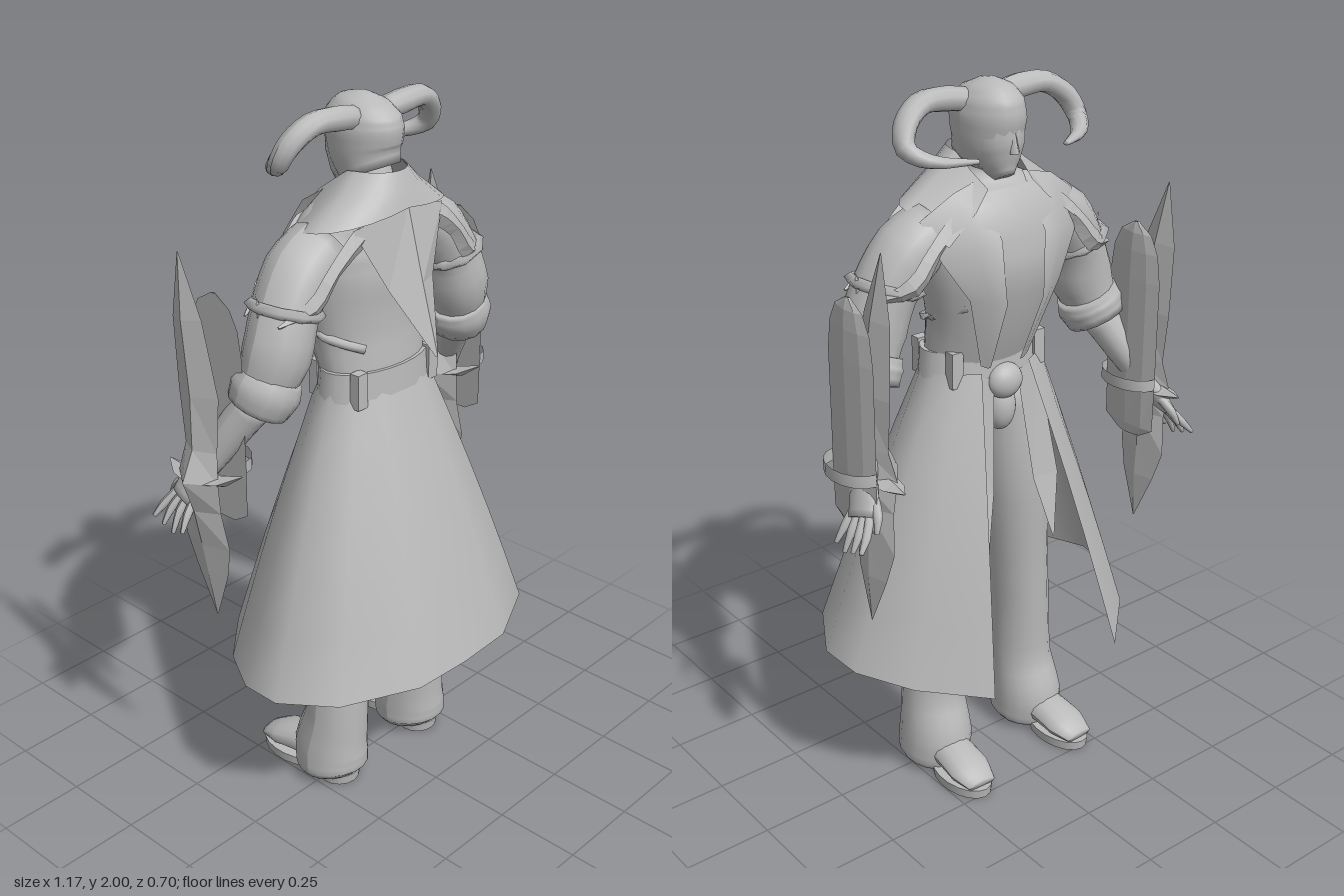
import * as THREE from 'three';

const grey = new THREE.MeshStandardMaterial({ color: 0xbababa, side: THREE.DoubleSide });
grey.name = 'plain grey';

function add(parent, name, geometry) {
  const m = new THREE.Mesh(geometry, grey);
  m.name = name;
  parent.add(m);
  return m;
}

// Surface from a grid of points: rows of [x, y, z]
function gridSurface(rows, flat = false) {
  const n = rows[0].length, index = [];
  for (let i = 0; i < rows.length - 1; i++)
    for (let j = 0; j < n - 1; j++) {
      const a = i * n + j, b = a + 1, c = a + n, d = c + 1;
      index.push(a, b, c, b, d, c);
    }
  let g = new THREE.BufferGeometry();
  g.setAttribute('position', new THREE.Float32BufferAttribute(rows.flat(2), 3));
  g.setIndex(index);
  if (flat) g = g.toNonIndexed();
  g.computeVertexNormals();
  return g;
}

// Elliptical loft along points [x, y, z, radiusA, radiusB], closed at both ends
function loft(pts, { sides = 14, steps = 3, ref = [0, 0, 1], flat = false } = {}) {
  const curve = new THREE.CatmullRomCurve3(pts.map(p => new THREE.Vector3(...p)), false, 'centripetal');
  const total = (pts.length - 1) * steps, R = new THREE.Vector3(...ref), rows = [];
  for (let k = 0; k <= total; k++) {
    const t = k / total, i = Math.min(Math.floor(k / steps), pts.length - 2), f = k / steps - i;
    const c = curve.getPoint(t), dir = curve.getTangent(t);
    const s = dir.clone().cross(R).normalize(), b = dir.clone().cross(s);
    const ra = pts[i][3] + (pts[i + 1][3] - pts[i][3]) * f;
    const rb = pts[i][4] + (pts[i + 1][4] - pts[i][4]) * f;
    const ring = scale => Array.from({ length: sides + 1 }, (_, j) => {
      const q = j / sides * Math.PI * 2;
      return c.clone().addScaledVector(s, Math.cos(q) * ra * scale)
        .addScaledVector(b, Math.sin(q) * rb * scale).toArray();
    });
    if (k === 0) rows.push(ring(0));
    rows.push(ring(1));
    if (k === total) rows.push(ring(0));
  }
  return gridSurface(rows, flat);
}

function ellipsoid(x, y, z, rx, ry, rz) {
  return new THREE.SphereGeometry(1, 20, 14).scale(rx, ry, rz).translate(x, y, z);
}

// Runs a builder for both sides, s = +1 or -1
const both = fn => [1, -1].forEach(fn);
const flip = (pts, s) => pts.map(([x, ...r]) => [x * s, ...r]);

function buildHead(g) {
  add(g, 'skull', loft([[0, 1.8, -0.01, 0.076, 0.082], [0, 1.85, -0.03, 0.085, 0.105],
    [0, 1.91, -0.036, 0.089, 0.116], [0, 1.95, -0.036, 0.08, 0.108], [0, 1.98, -0.034, 0.055, 0.075],
    [0, 1.998, -0.032, 0.015, 0.02]], { sides: 20 }));
  add(g, 'jaw', loft([[0, 1.9, -0.06, 0.076, 0.085], [0, 1.83, -0.075, 0.07, 0.075],
    [0, 1.785, -0.09, 0.05, 0.052], [0, 1.755, -0.105, 0.025, 0.03]]));
  add(g, 'nose', new THREE.ConeGeometry(0.016, 0.06, 4).translate(0, 1.855, -0.145));
  // Horns sweep outward, then down and forward beside the face
  both(s => add(g, 'horn', loft(flip([[0.05, 1.945, -0.02, 0.03, 0.034], [0.12, 1.955, -0.015, 0.032, 0.036],
    [0.2, 1.955, -0.022, 0.028, 0.036], [0.258, 1.915, -0.04, 0.028, 0.034], [0.276, 1.865, -0.065, 0.026, 0.028],
    [0.24, 1.838, -0.115, 0.018, 0.022], [0.14, 1.835, -0.18, 0.006, 0.008]], s), { sides: 10 })));
}

function buildTorso(g) {
  add(g, 'torso', loft([[0, 1.1, 0, 0.14, 0.09], [0, 1.25, 0, 0.17, 0.1], [0, 1.38, -0.03, 0.18, 0.12],
    [0, 1.53, -0.05, 0.215, 0.145], [0, 1.64, -0.045, 0.235, 0.13], [0, 1.72, -0.02, 0.16, 0.1],
    [0, 1.77, -0.02, 0.065, 0.07], [0, 1.85, -0.04, 0.06, 0.06]], { sides: 24 }));
  add(g, 'belt', new THREE.CylinderGeometry(0.183, 0.192, 0.085, 24, 1).scale(1, 1, 0.58).translate(0, 1.255, 0));
  add(g, 'buckle', ellipsoid(0, 1.2, -0.11, 0.055, 0.05, 0.04));
  add(g, 'codpiece', ellipsoid(0, 1.12, -0.09, 0.045, 0.07, 0.045));
  // Standing collar falling to the shoulders, open at the front
  const rings = [[1.82, 0.085, 0.1, 0], [1.77, 0.14, 0.12, 0], [1.73, 0.245, 0.132, 0.035]];
  add(g, 'collar', gridSurface(rings.map(([y, rx, rz, drop]) => Array.from({ length: 17 }, (_, j) => {
    const a = (j / 16 - 0.5) * Math.PI * 1.35, front = Math.max(0, -Math.cos(a));
    return [Math.sin(a) * rx, y - front * 0.15 - drop * Math.abs(Math.sin(a)), Math.cos(a) * rz - 0.01 - front * 0.13];
  }))));
  // Pointed flap hanging behind
  add(g, 'backFlap', gridSurface([
    [[-0.17, 1.7, 0.085], [0, 1.735, 0.118], [0.17, 1.7, 0.085]],
    [[-0.085, 1.53, 0.13], [0, 1.54, 0.17], [0.085, 1.53, 0.13]],
    [[-0.004, 1.35, 0.222], [0, 1.35, 0.225], [0.004, 1.35, 0.222]]], true));
  both(s => {
    add(g, 'lapel', gridSurface([
      flip([[0.07, 1.76, -0.09], [0.16, 1.74, -0.1], [0.25, 1.68, -0.08]], s),
      flip([[0.07, 1.62, -0.185], [0.14, 1.62, -0.175], [0.22, 1.58, -0.13]], s),
      flip([[0.06, 1.45, -0.195], [0.1, 1.46, -0.18], [0.15, 1.47, -0.155]], s),
      flip([[0.05, 1.25, -0.115], [0.06, 1.25, -0.115], [0.08, 1.26, -0.11]], s)]));
    for (const z of [0.075, -0.075])
      add(g, 'beltLoop', new THREE.BoxGeometry(0.036, 0.1, 0.03).translate(s * 0.14, 1.255, z));
    add(g, 'sideStrap', loft(flip([[0.11, 1.36, 0.07, 0.012, 0.008], [0.165, 1.385, 0.03, 0.012, 0.01],
      [0.182, 1.4, -0.03, 0.012, 0.01], [0.14, 1.44, -0.13, 0.012, 0.01]], s), { sides: 4 }));
  });
}

function buildCoat(g) {
  // Half outlines [x, y, z] from the middle of the back to the front opening
  const hem = [[0, 0.46, 0.348], [0.18, 0.46, 0.34], [0.39, 0.455, 0.235], [0.48, 0.44, 0.08],
    [0.47, 0.43, -0.05], [0.38, 0.415, -0.2], [0.22, 0.4, -0.35]];
  const waist = [[0, 1.24, 0.105], [0.075, 1.24, 0.098], [0.145, 1.24, 0.068], [0.185, 1.24, 0.015],
    [0.178, 1.24, -0.04], [0.14, 1.24, -0.08], [0.08, 1.24, -0.115]];
  const full = h => [...flip(h.slice(1).reverse(), -1), ...h];
  const top = full(waist), bottom = full(hem);
  const rows = [0, 0.2, 0.4, 0.6, 0.8, 1].map(t => top.map((p, j) => p.map((v, k) =>
    v + (bottom[j][k] - v) * (k === 1 ? t : t + 0.03 * Math.sin(t * Math.PI)))));
  add(g, 'coatSkirt', gridSurface(rows));
  // Pointed hanging panels inside the opening
  both(s => add(g, 'frontTail', gridSurface([
    flip([[0.04, 1.22, -0.115], [0.14, 1.22, -0.08]], s), flip([[0.07, 0.9, -0.155], [0.18, 0.88, -0.13]], s),
    flip([[0.115, 0.72, -0.19], [0.12, 0.72, -0.19]], s)], true)));
}

function buildLeg(g, s) {
  add(g, 'trouserLeg', loft(flip([[0.095, 1.18, 0, 0.09, 0.095], [0.115, 0.9, -0.015, 0.1, 0.1],
    [0.14, 0.6, -0.005, 0.088, 0.092], [0.155, 0.42, 0, 0.085, 0.09], [0.166, 0.22, 0.006, 0.092, 0.092],
    [0.172, 0.1, -0.012, 0.102, 0.114], [0.174, 0.04, -0.008, 0.104, 0.11], [0.174, 0.02, -0.005, 0.09, 0.09]], s),
    { sides: 18 }));
  add(g, 'shoe', loft(flip([[0.175, 0.06, 0.05, 0.055, 0.04], [0.178, 0.07, -0.08, 0.06, 0.048],
    [0.183, 0.055, -0.19, 0.064, 0.034], [0.186, 0.04, -0.25, 0.045, 0.016]], s), { ref: [0, 1, 0] }));
  // Sole with a separate heel
  const sole = new THREE.CylinderGeometry(0.068, 0.066, 0.028, 18).scale(1, 1, 1.65);
  add(g, 'sole', sole.translate(s * 0.184, 0.016, -0.155));
  add(g, 'heel', new THREE.CylinderGeometry(0.064, 0.06, 0.03, 16).translate(s * 0.175, 0.015, 0.02));
}

function buildArm(g, s) {
  add(g, 'sleeve', loft(flip([[0.17, 1.64, -0.03, 0.08, 0.09], [0.25, 1.59, -0.025, 0.09, 0.095],
    [0.315, 1.5, -0.015, 0.086, 0.09], [0.352, 1.4, -0.01, 0.092, 0.09], [0.39, 1.29, -0.035, 0.07, 0.07]], s)));
  add(g, 'cuff', loft(flip([[0.365, 1.345, -0.02, 0.085, 0.085], [0.38, 1.31, -0.025, 0.096, 0.095],
    [0.395, 1.265, -0.04, 0.084, 0.085]], s)));
  add(g, 'forearm', loft(flip([[0.395, 1.28, -0.04, 0.055, 0.055], [0.44, 1.18, -0.1, 0.048, 0.048],
    [0.485, 1.08, -0.15, 0.034, 0.034]], s)));
  add(g, 'palm', loft(flip([[0.48, 1.09, -0.15, 0.026, 0.03], [0.505, 1.04, -0.175, 0.025, 0.05],
    [0.53, 0.995, -0.195, 0.018, 0.045]], s)));
  for (let i = 0; i < 4; i++) {
    const z = -0.155 - i * 0.023, r = 0.012;
    add(g, 'finger', loft(flip([[0.523, 1.005, z, r, r], [0.552, 0.965, z - 0.008 * i, r, r],
      [0.578, 0.91 + 0.012 * Math.abs(i - 1), z - 0.014 * i + 0.005, 0.006, 0.006]], s), { sides: 7 }));
  }
  add(g, 'thumb', loft(flip([[0.495, 1.05, -0.2, 0.014, 0.014], [0.51, 1.01, -0.24, 0.013, 0.013],
    [0.525, 0.97, -0.255, 0.006, 0.006]], s), { sides: 7 }));
  // Armoured band around the upper arm, straps over the shoulder and a spike
  const ring = add(g, 'armRing', new THREE.TorusGeometry(0.092, 0.015, 4, 10));
  ring.position.set(s * 0.312, 1.51, -0.015);
  ring.rotation.set(Math.PI / 2, s * 0.3, 0);
  for (const z of [0.075, -0.125]) {
    add(g, 'shoulderStrap', loft(flip([[0.09, 1.69, z, 0.012, 0.01], [0.15, 1.67, z + 0.008, 0.032, 0.016],
      [0.23, 1.61, z + 0.005, 0.024, 0.016], [0.3, 1.53, z * 0.95, 0.03, 0.016],
      [0.395, 1.5, z * 0.6, 0.004, 0.004]], s), { sides: 4, flat: true }));
  }
  const spike = add(g, 'armSpike', new THREE.ConeGeometry(0.026, 0.1, 4));
  spike.position.set(s * 0.392, 1.52, -0.02);
  spike.rotation.z = s * -0.3;
}

// Arm weapon: ridged blade on one side, rounded shield on the other
function buildWeapon(x) {
  const g = new THREE.Group();
  g.name = 'armWeapon';
  add(g, 'blade', loft([[-0.03, 1.67, -0.19, 0.001, 0.002], [-0.028, 1.5, -0.17, 0.022, 0.055],
    [-0.025, 1.3, -0.145, 0.03, 0.075], [-0.03, 1.15, -0.14, 0.032, 0.06], [-0.045, 1.07, -0.14, 0.055, 0.075],
    [-0.035, 0.98, -0.14, 0.032, 0.07], [-0.025, 0.87, -0.138, 0.022, 0.085], [-0.018, 0.78, -0.134, 0.016, 0.06],
    [-0.012, 0.64, -0.13, 0.001, 0.002]], { sides: 4, steps: 1, flat: true }));
  add(g, 'crossGuard', loft([[-0.02, 1.11, 0.0, 0.002, 0.002], [-0.03, 1.08, -0.06, 0.03, 0.015],
    [-0.035, 1.06, -0.14, 0.045, 0.02], [-0.03, 1.06, -0.22, 0.03, 0.015], [-0.02, 1.07, -0.28, 0.002, 0.002]],
    { sides: 4, steps: 1, ref: [0, 1, 0], flat: true }));
  // Shield: a thin plate with rounded top and pointed bottom, crowned outward
  const shieldRows = [[0.93, 0.045, 0.01], [0.96, 0.095, 0.015], [1.1, 0.097, 0.02], [1.4, 0.097, 0.02],
    [1.48, 0.085, 0.018], [1.53, 0.058, 0.014], [1.56, 0.008, 0.006]];
  add(g, 'shield', gridSurface(shieldRows.map(([y, w, bulge]) =>
    [-1, -0.6, 0, 0.6, 1].map(u => [0.03 + bulge * (1 - u * u), y, -0.135 + u * w])), true));
  add(g, 'shieldBack', gridSurface(shieldRows.map(([y, w]) =>
    [1, -1].map(u => [0.03, y, -0.135 + u * w])), true));
  // Thin band looping around the wrist side of the shield
  add(g, 'shieldBand', gridSurface([1.088, 1.122].map(y => Array.from({ length: 9 }, (_, j) => {
    const a = j / 8 * Math.PI;
    return [0.03 + 0.068 * Math.sin(a), y, -0.135 + 0.097 * Math.cos(a)];
  }))));
  g.position.x = x;
  return g;
}

export function createModel() {
  const model = new THREE.Group();
  model.name = 'hornedFigure';
  buildHead(model);
  buildTorso(model);
  buildCoat(model);
  both(s => {
    buildLeg(model, s);
    buildArm(model, s);
    model.add(buildWeapon(s * 0.475));
  });
  return model;
}
